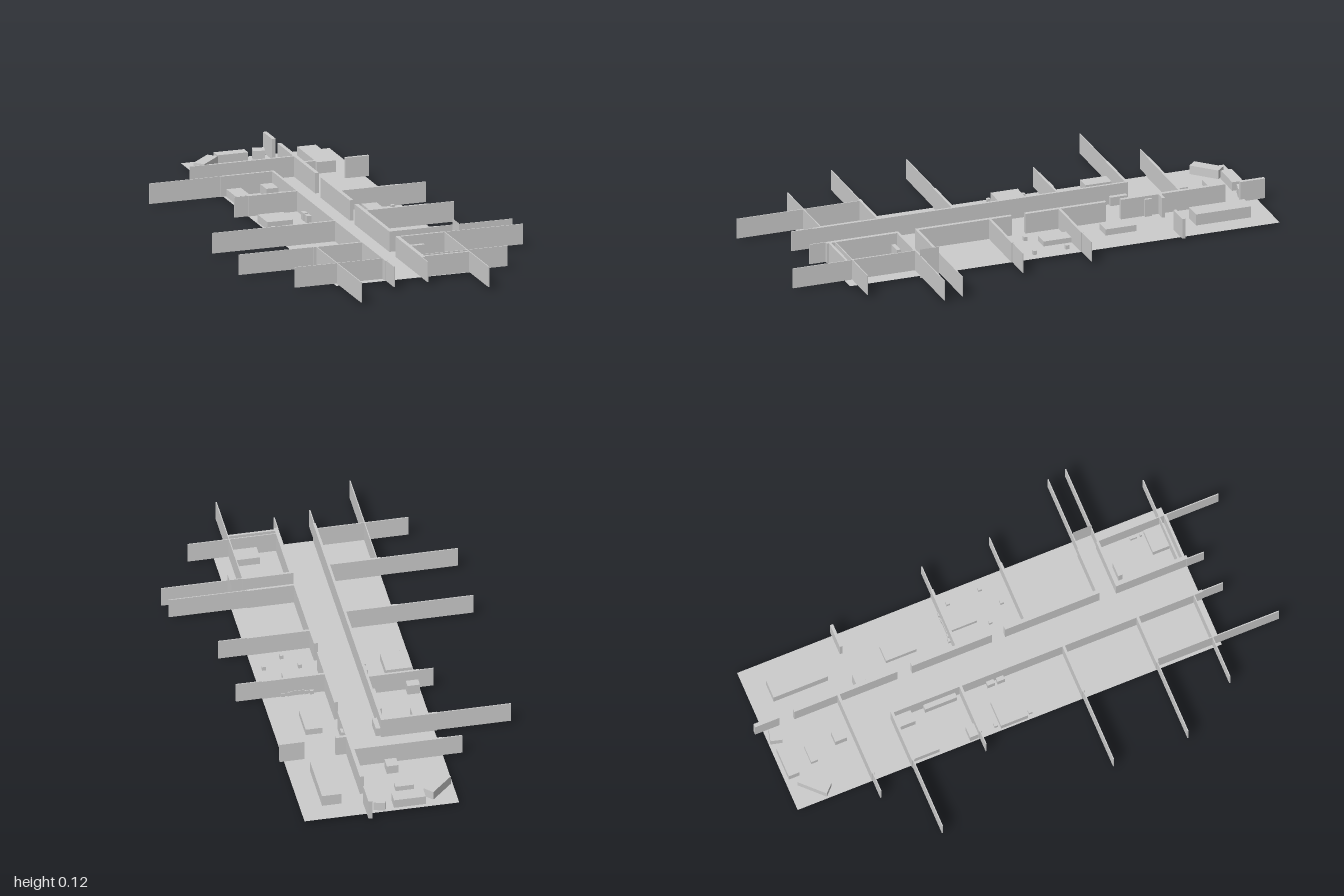
import * as THREE from 'three';

const FLOOR = 0.01, TOP = 0.09;

export function createModel() {
  const model = new THREE.Group();
  const grey = new THREE.MeshStandardMaterial({ color: 0xcccccc, flatShading: true });
  const thin = new THREE.MeshStandardMaterial({ color: 0xcccccc, side: THREE.DoubleSide });

  // Box given by its plan rectangle and its top height
  function block(name, x0, x1, z0, z1, top = TOP, turn = 0, bottom = FLOOR) {
    const mesh = new THREE.Mesh(new THREE.BoxGeometry(x1 - x0, top - bottom, z1 - z0), grey);
    mesh.position.set((x0 + x1) / 2, (top + bottom) / 2, (z0 + z1) / 2);
    mesh.rotation.y = turn;
    mesh.name = name;
    model.add(mesh);
  }

  // Floor slab
  const floor = new THREE.Mesh(new THREE.PlaneGeometry(0.595, 1.73), thin);
  floor.rotation.x = -Math.PI / 2;
  floor.position.set(0.022, FLOOR, -0.103);
  floor.name = 'floor';
  model.add(floor);

  // Corridor walls: the right-hand one is broken by doorways
  const corridor = [[-1, -0.9], [-0.84, -0.42], [-0.36, -0.035], [0.02, 0.4], [0.475, 0.765]];
  for (const [z0, z1] of corridor) block('corridorWall', 0.065, 0.08, z0, z1);
  block('corridorWallEnd', 0.064, 0.068, 0.76, 0.83);
  block('corridorWall', -0.08, -0.07, -0.505, 0.765);
  block('corridorWallEnd', -0.077, -0.073, 0.76, 0.85);

  // Cross walls: z, thick part x0..x1, thin extension x0..x1
  const cross = [
    [-0.66, -0.275, 0.07, -0.35, -0.27],
    [-0.5, -0.285, -0.075, -0.57, -0.28],
    [-0.222, -0.275, -0.075, -0.33, -0.27],
    [0.198, -0.275, -0.075, -0.57, -0.27],
    [0.5, -0.275, -0.075, -0.573, -0.27],
    [-0.173, 0.07, 0.32, 0.31, 0.42],
    [0.107, 0.07, 0.32, 0.31, 0.43],
    [0.4, 0.065, 0.26, 0.25, 0.56],
    [0.477, 0.065, 0.26, 0.25, 0.573],
  ];
  for (const [z, a, b, c, d] of cross) {
    block('crossWall', a, b, z - 0.005, z + 0.005);
    block('crossWallExtension', c, d, z - 0.002, z + 0.002);
  }
  block('crossWallStub', 0.08, 0.12, -0.582, -0.57);
  block('crossWallStub', 0.24, 0.335, -0.582, -0.57);

  // Front walls and outer side walls
  block('frontWall', 0.065, 0.26, 0.747, 0.757);
  block('frontWallThin', 0.08, 0.42, 0.728, 0.732);
  block('frontWallThin', -0.43, -0.075, 0.728, 0.732);
  block('outerWall', -0.263, -0.259, 0.5, 1.0);
  block('outerWall', 0.258, 0.262, 0.477, 0.97);

  // Upright panel closing the passage at the outer edge
  const panel = new THREE.Mesh(new THREE.PlaneGeometry(0.077, 0.117), thin);
  panel.rotation.y = -Math.PI / 2;
  panel.position.set(0.318, 0.0585, 0.441);
  panel.name = 'passagePanel';
  model.add(panel);

  // Furniture: name, x0, x1, z0, z1, top, turn
  const furniture = [
    ['longTable', 0.16, 0.235, -0.885, -0.663, 0.055],
    ['bed', 0.14, 0.205, -0.435, -0.31, 0.035],
    ['bed', 0.16, 0.22, -0.18, -0.055, 0.03],
    ['cabinet', 0.075, 0.09, -0.54, -0.513, 0.08],
    ['table', 0.155, 0.25, 0.66, 0.727, 0.04],
    ['shelf', 0.11, 0.167, 0.5, 0.516, 0.06],
    ['stool', 0.24, 0.25, 0.603, 0.63, 0.025],
    ['stool', 0.24, 0.248, 0.642, 0.65, 0.025],
    ['desk', -0.265, -0.207, -0.49, -0.385, 0.04],
    ['desk', -0.128, -0.052, -0.495, -0.427, 0.045],
    ['sideboard', -0.1, -0.08, -0.375, -0.245, 0.045],
    ['sideboard', -0.27, -0.222, -0.262, -0.228, 0.05],
    ['table', -0.268, -0.165, -0.135, -0.025, 0.04],
    ['seat', -0.1, -0.083, -0.12, -0.09, 0.04],
    ['seat', -0.1, -0.083, -0.08, -0.05, 0.04],
    ['sofa', -0.27, -0.15, -0.895, -0.85, 0.045, Math.PI / 4],
    ['sofa', -0.15, -0.028, -0.952, -0.908, 0.045],
    ['armchair', 0.0, 0.046, -0.957, -0.911, 0.045, -0.25],
    ['coffeeTable', -0.125, -0.055, -0.85, -0.823, 0.03],
    ['sideTable', -0.09, -0.045, -0.737, -0.69, 0.045],
  ];
  for (const piece of furniture) block(...piece);

  // Small stools scattered around the rooms
  const stools = [[0.13, -0.18], [0.15, -0.175], [0.215, -0.175], [0.24, -0.175], [0.27, -0.13],
    [0.14, -0.01], [0.277, 0.003], [0.197, 0.06], [-0.25, -0.15], [-0.25, -0.01]];
  for (const [x, z] of stools) block('smallStool', x - 0.007, x + 0.007, z - 0.007, z + 0.007, 0.026);

  return model;
}
